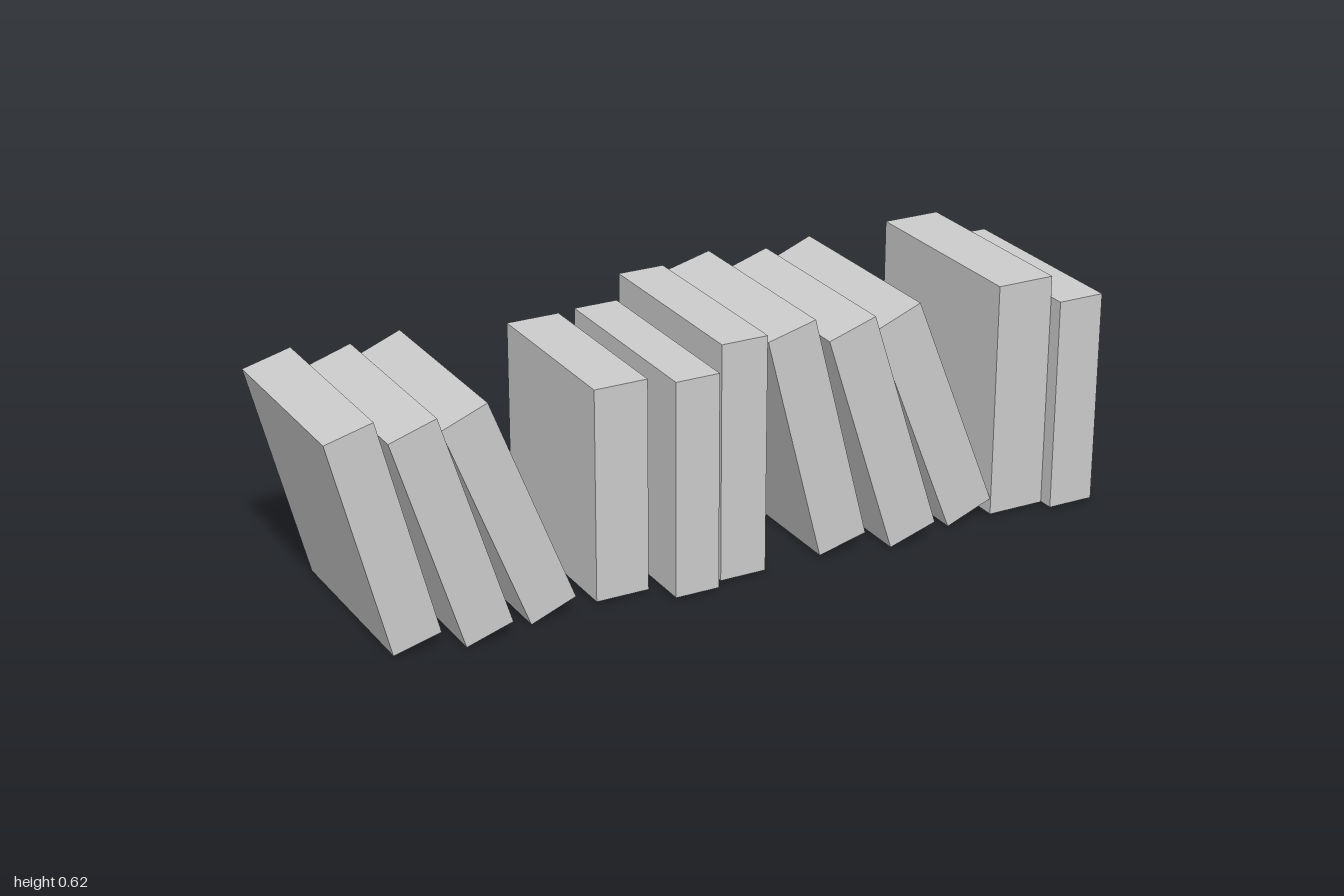
import * as THREE from 'three';

const material = new THREE.MeshStandardMaterial({ color: 0xcccccc, flatShading: true });

// One plain block: centre (x, y), width, height, back and front z, lean to the right side in degrees
function block(name, [x, y, width, height, back, front, lean]) {
  const mesh = new THREE.Mesh(new THREE.BoxGeometry(width, height, front - back), material);
  mesh.name = name;
  mesh.position.set(x, y, (back + front) / 2);
  mesh.rotation.z = THREE.MathUtils.degToRad(lean);
  return mesh;
}

// Upright block given by its x range and top height, resting on the shelf line
const BASE = 0.013;
const upright = (x0, x1, top, back, front) =>
  [(x0 + x1) / 2, (BASE + top) / 2, x1 - x0, top - BASE, back, front, 0];

export function createModel() {
  const group = new THREE.Group();
  group.name = 'bookRow';

  const books = {
    // leaning trio at the end of the row
    leaningBookA: [-0.87, 0.299, 0.123, 0.564, -0.262, 0.226, 14.6],
    leaningBookB: [-0.72, 0.294, 0.123, 0.564, -0.231, 0.259, 17.6],
    leaningBookC: [-0.563, 0.292, 0.123, 0.567, -0.262, 0.226, 21.6],
    // upright middle group
    uprightBookA: upright(-0.339, -0.203, 0.547, -0.253, 0.207),
    uprightBookB: upright(-0.167, -0.054, 0.557, -0.24, 0.276),
    uprightBookC: upright(-0.033, 0.087, 0.612, -0.268, 0.247),
    // second leaning trio
    leaningBookD: [0.23, 0.318, 0.13, 0.597, -0.277, 0.24, 14.4],
    leaningBookE: [0.389, 0.313, 0.13, 0.598, -0.241, 0.275, 17.8],
    leaningBookF: [0.554, 0.31, 0.13, 0.599, -0.277, 0.24, 21.7],
    // upright pair supporting the lean
    uprightBookD: upright(0.727, 0.877, 0.612, -0.277, 0.24),
    uprightBookE: upright(0.879, 1.0, 0.557, -0.24, 0.277),
  };
  for (const [name, spec] of Object.entries(books)) group.add(block(name, spec));

  return group;
}
